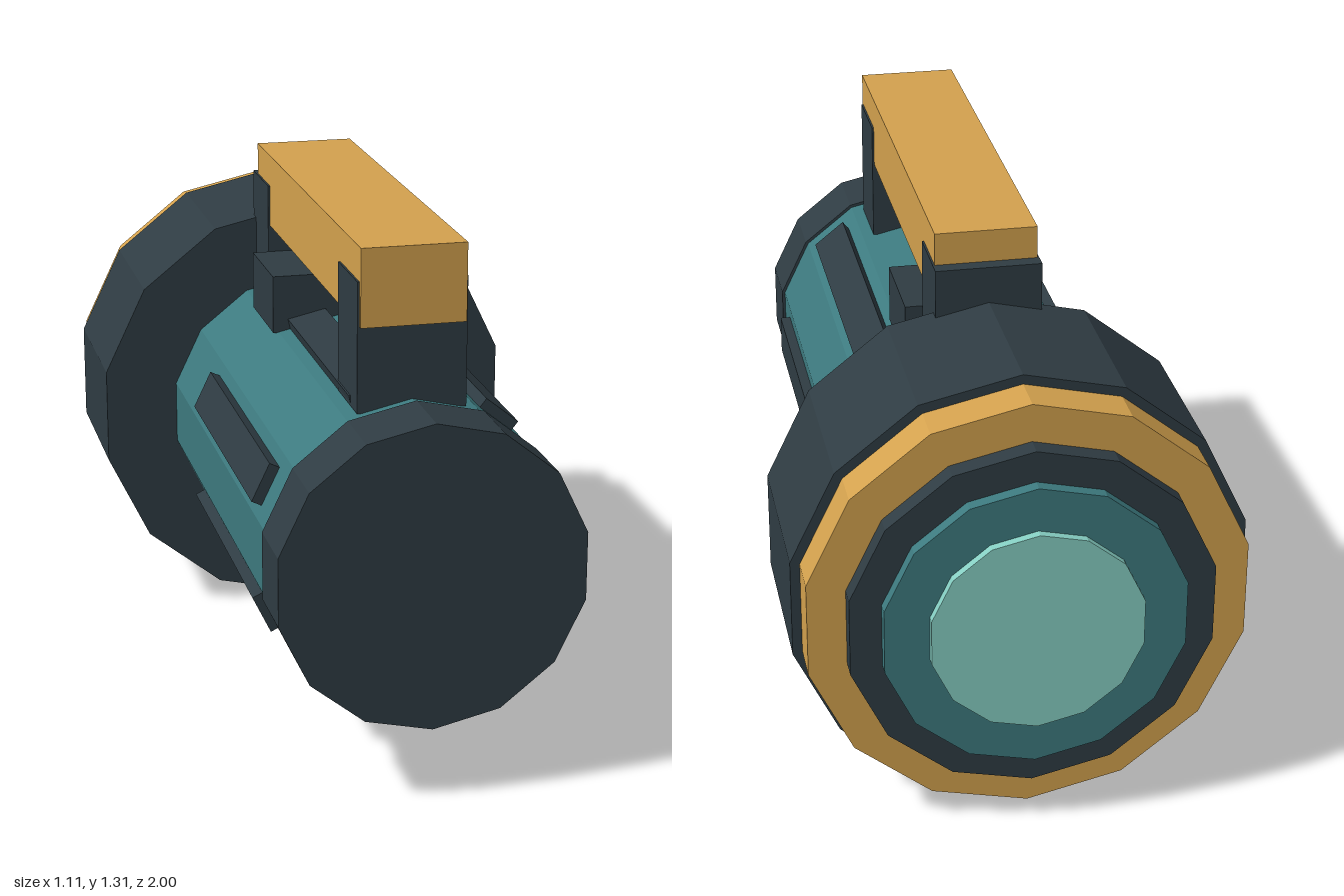
import * as THREE from 'three';

const material = (name, color) => {
  const m = new THREE.MeshStandardMaterial({ color, flatShading: true });
  m.name = name;
  return m;
};

export function createModel() {
  const charcoal = material('charcoal', 0x2f3c43);
  const gold = material('gold', 0xd4a24e);
  const teal = material('teal', 0x3d7a7f);
  const glass = material('pale glass', 0x86cfc3);

  const model = new THREE.Group();
  model.name = 'flashlight';
  const AXIS_Y = 0.568;

  // Fourteen-sided drum lying along z, between zFront and zBack
  function drum(name, radius, zFront, zBack, mat) {
    const geometry = new THREE.CylinderGeometry(radius, radius, zFront - zBack, 14);
    geometry.rotateX(Math.PI / 2);
    const mesh = new THREE.Mesh(geometry, mat);
    mesh.name = name;
    mesh.position.set(0, AXIS_Y, (zFront + zBack) / 2);
    model.add(mesh);
  }

  // Box centred on x = 0, given by its y and z limits
  function block(name, width, y0, y1, z0, z1, mat) {
    const mesh = new THREE.Mesh(new THREE.BoxGeometry(width, y1 - y0, z1 - z0), mat);
    mesh.name = name;
    mesh.position.set(0, (y0 + y1) / 2, (z0 + z1) / 2);
    model.add(mesh);
  }

  // Barrel, end cap and lamp head
  drum('endCap', 0.378, 1.0, 0.825, charcoal);
  drum('barrel', 0.37, 0.825, -0.355, teal);
  drum('lampHead', 0.567, -0.355, -0.79, charcoal);

  // Stepped rings and lens
  drum('bezel', 0.543, -0.79, -0.895, gold);
  drum('innerRing', 0.448, -0.895, -0.945, charcoal);
  drum('reflector', 0.37, -0.945, -0.978, teal);
  drum('lens', 0.26, -0.978, -1.0, glass);

  // Carrying handle on two posts
  block('handleGrip', 0.254, 1.12, 1.31, -0.35, 0.797, gold);
  block('frontPost', 0.264, 0.91, 1.228, 0.597, 0.785, charcoal);
  block('rearPost', 0.264, 0.91, 1.228, -0.387, -0.198, charcoal);

  // Switch under the handle
  block('switchBase', 0.35, 0.9, 1.05, -0.194, 0.058, charcoal);
  block('switchButton', 0.14, 1.05, 1.08, -0.137, -0.037, glass);

  // Seven grip ribs around the barrel
  for (let i = 0; i < 7; i++) {
    const angle = (i / 7) * Math.PI * 2;
    const rib = new THREE.Mesh(new THREE.BoxGeometry(0.045, 0.102, 0.74), charcoal);
    rib.name = 'gripRib';
    rib.position.set(Math.cos(angle) * 0.365, AXIS_Y + Math.sin(angle) * 0.365, 0.35);
    rib.rotation.z = angle;
    model.add(rib);
  }

  return model;
}
